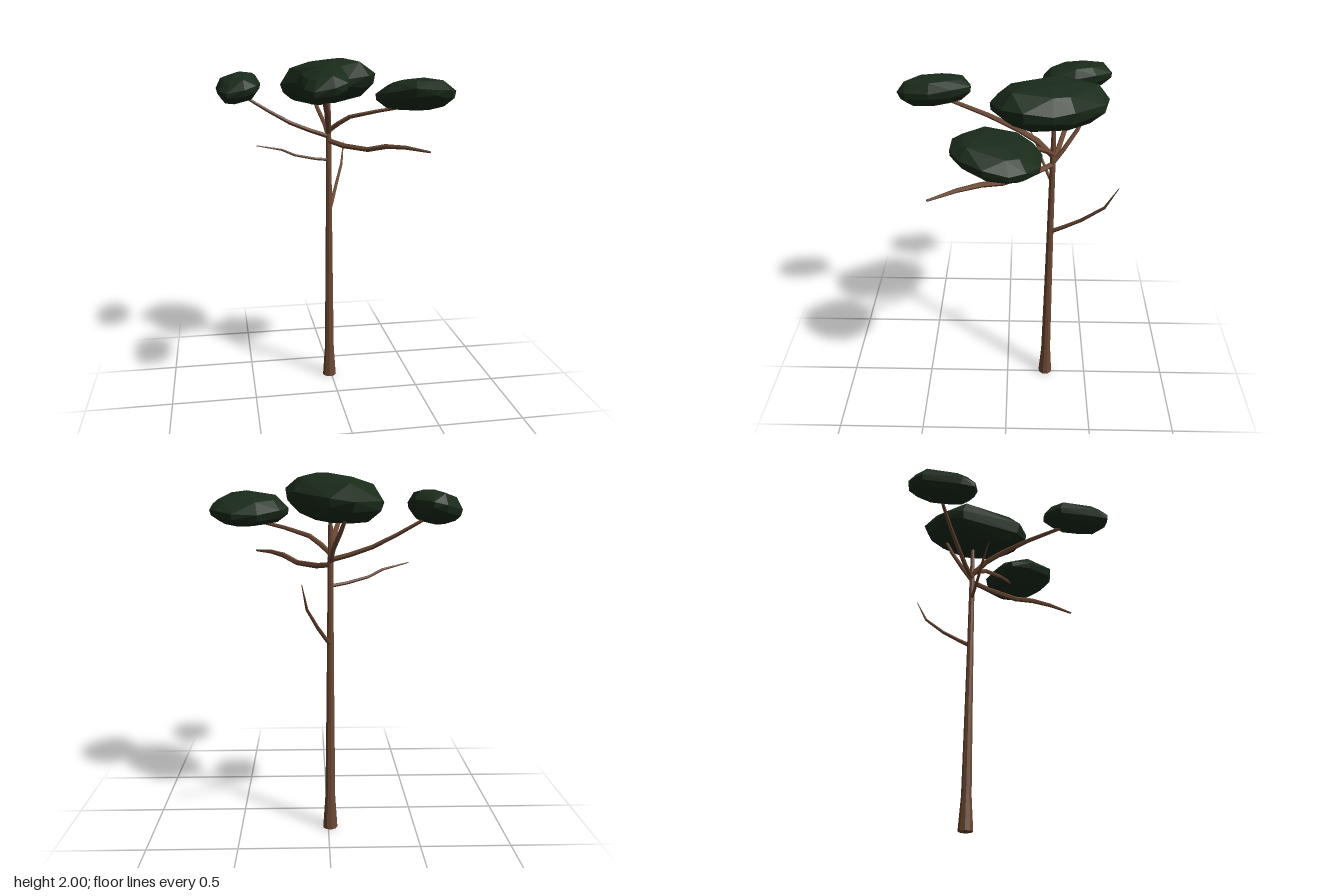
import * as THREE from 'three';
import { ConvexGeometry } from 'three/addons/geometries/ConvexGeometry.js';

const bark = new THREE.MeshStandardMaterial({ color: 0x6b4833, flatShading: true });
const leaf = new THREE.MeshStandardMaterial({ color: 0x1a2b1a, flatShading: true });

// Tapered limb lofted along a polyline; each point is [x, y, z, radius].
function limb(name, pts, sides) {
  const c = pts.map(p => new THREE.Vector3(p[0], p[1], p[2]));
  const last = c.length - 1;
  const ref = Math.abs(c[last].y - c[0].y) > 1 ? new THREE.Vector3(0, 0, 1) : new THREE.Vector3(0.1, 1, -0.1).normalize();
  const pos = [], idx = [];
  c.forEach((p, i) => {
    const t = c[Math.min(i + 1, last)].clone().sub(c[Math.max(i - 1, 0)]).normalize();
    const u = new THREE.Vector3().crossVectors(ref, t).normalize();
    const v = new THREE.Vector3().crossVectors(t, u);
    for (let s = 0; s < sides; s++) {
      const a = s / sides * Math.PI * 2;
      const q = p.clone().addScaledVector(u, Math.cos(a) * pts[i][3]).addScaledVector(v, Math.sin(a) * pts[i][3]);
      pos.push(q.x, q.y, q.z);
    }
  });
  for (let i = 0; i < last; i++) for (let s = 0; s < sides; s++) {
    const a = i * sides + s, b = i * sides + (s + 1) % sides;
    idx.push(a, b, a + sides, b, b + sides, a + sides);
  }
  // end caps
  for (let s = 1; s < sides - 1; s++) {
    const e = last * sides;
    idx.push(0, s + 1, s, e, e + s, e + s + 1);
  }
  const g = new THREE.BufferGeometry();
  g.setAttribute('position', new THREE.Float32BufferAttribute(pos, 3));
  g.setIndex(idx);
  g.computeVertexNormals();
  const m = new THREE.Mesh(g, bark);
  m.name = name;
  return m;
}

// Faceted leaf cushion: a plan outline [x, z] shrunk towards top and bottom, tilted, fitted to y0..y1.
const RINGS = [[0.36, 1], [0.76, 0.74], [1, 0.12], [0.95, -0.35], [0.74, -0.8], [0.4, -1]];
function cushion(name, outline, y0, y1, tiltX, tiltZ) {
  const mid = k => {
    const v = outline.map(p => p[k]);
    return (Math.min(...v) + Math.max(...v)) / 2;
  };
  const cx = mid(0), cz = mid(1), h = (y1 - y0) / 2;
  const pts = [];
  RINGS.forEach(([s, t], r) => outline.forEach(([x, z], i) => {
    const wobble = Math.sin(i * 2.4 + r * 1.9);
    const k = s === 1 ? 1 : s * (1 + 0.04 * wobble);
    const dx = (x - cx) * k, dz = (z - cz) * k;
    pts.push(new THREE.Vector3(cx + dx, h * (t + 0.08 * wobble) + tiltX * dx + tiltZ * dz, cz + dz));
  }));
  const ys = pts.map(p => p.y), lo = Math.min(...ys), hi = Math.max(...ys);
  pts.forEach(p => { p.y = y0 + (p.y - lo) / (hi - lo) * (y1 - y0); });
  const m = new THREE.Mesh(new ConvexGeometry(pts), leaf);
  m.name = name;
  return m;
}

export function createModel() {
  const tree = new THREE.Group();
  tree.name = 'tree';
  const X = -0.011, Z = -0.245;

  // Trunk with a flared foot
  tree.add(limb('trunk', [
    [X, 0, Z, 0.042], [X, 0.19, Z, 0.029], [X, 0.7, Z, 0.023],
    [X, 1.1, Z, 0.019], [X, 1.5, Z, 0.016], [X, 1.8, Z, 0.011]], 9));

  // Boughs carrying the leaf cushions
  tree.add(limb('leftBough', [
    [X, 1.545, Z, 0.015], [-0.11, 1.575, -0.28, 0.014], [-0.23, 1.62, -0.315, 0.013],
    [-0.35, 1.685, -0.355, 0.011], [-0.5, 1.775, -0.4, 0.009]], 6));
  tree.add(limb('frontBough', [
    [X, 1.57, Z, 0.016], [-0.03, 1.65, -0.16, 0.016], [-0.05, 1.705, -0.06, 0.015],
    [-0.085, 1.77, 0.1, 0.013], [-0.13, 1.845, 0.33, 0.01]], 6));
  tree.add(limb('rightBough', [
    [X, 1.58, Z, 0.014], [0.04, 1.625, -0.205, 0.014], [0.1, 1.667, -0.165, 0.013],
    [0.24, 1.707, -0.07, 0.011], [0.42, 1.745, 0.02, 0.009]], 6));
  tree.add(limb('backBough', [
    [X, 1.53, Z, 0.014], [-0.025, 1.61, -0.305, 0.013], [-0.06, 1.7, -0.37, 0.012], [-0.09, 1.79, -0.42, 0.009]], 6));

  // Bare branches
  tree.add(limb('upperBareBranch', [
    [X, 1.52, Z, 0.015], [0.06, 1.503, -0.14, 0.016], [0.17, 1.503, 0.02, 0.015],
    [0.25, 1.535, 0.13, 0.015], [0.33, 1.545, 0.25, 0.012], [0.425, 1.54, 0.39, 0.006]], 6));
  tree.add(limb('leftBareBranch', [
    [X, 1.405, Z, 0.01], [-0.1, 1.418, -0.222, 0.009], [-0.22, 1.447, -0.19, 0.008],
    [-0.3, 1.485, -0.167, 0.007], [-0.445, 1.518, -0.125, 0.003]], 6));
  tree.add(limb('lowerBareBranch', [
    [X, 1.085, Z, 0.013], [0.02, 1.135, -0.315, 0.011], [0.06, 1.21, -0.415, 0.01],
    [0.115, 1.325, -0.53, 0.008], [0.14, 1.46, -0.595, 0.002]], 6));

  // Leaf cushions
  const crown = [[-0.12, -0.54], [0, -0.51], [0.18, -0.34], [0.22, -0.23], [0.23, -0.08],
    [0.17, 0.03], [0.04, 0.09], [-0.08, 0.05], [-0.29, -0.29], [-0.27, -0.39]];
  const small = [[-0.57, -0.58], [-0.5, -0.587], [-0.42, -0.49], [-0.4, -0.37], [-0.43, -0.24],
    [-0.5, -0.193], [-0.6, -0.2], [-0.64, -0.27], [-0.66, -0.49]];
  const wide = [[0.38, -0.177], [0.52, -0.165], [0.61, -0.1], [0.655, -0.02], [0.65, 0.1],
    [0.58, 0.21], [0.49, 0.26], [0.38, 0.255], [0.25, 0.12], [0.215, 0], [0.26, -0.08]];
  tree.add(cushion('crownLeaves', crown, 1.74, 2, 0.1, 0.05));
  tree.add(cushion('leftLeaves', small, 1.735, 1.915, 0.2, -0.1));
  tree.add(cushion('frontLeaves', small.map(([x, z]) => [x + 0.392, z + 0.782]), 1.8, 1.98, 0.2, -0.1));
  tree.add(cushion('rightLeaves', wide, 1.71, 1.905, 0, 0.2));
  return tree;
}
